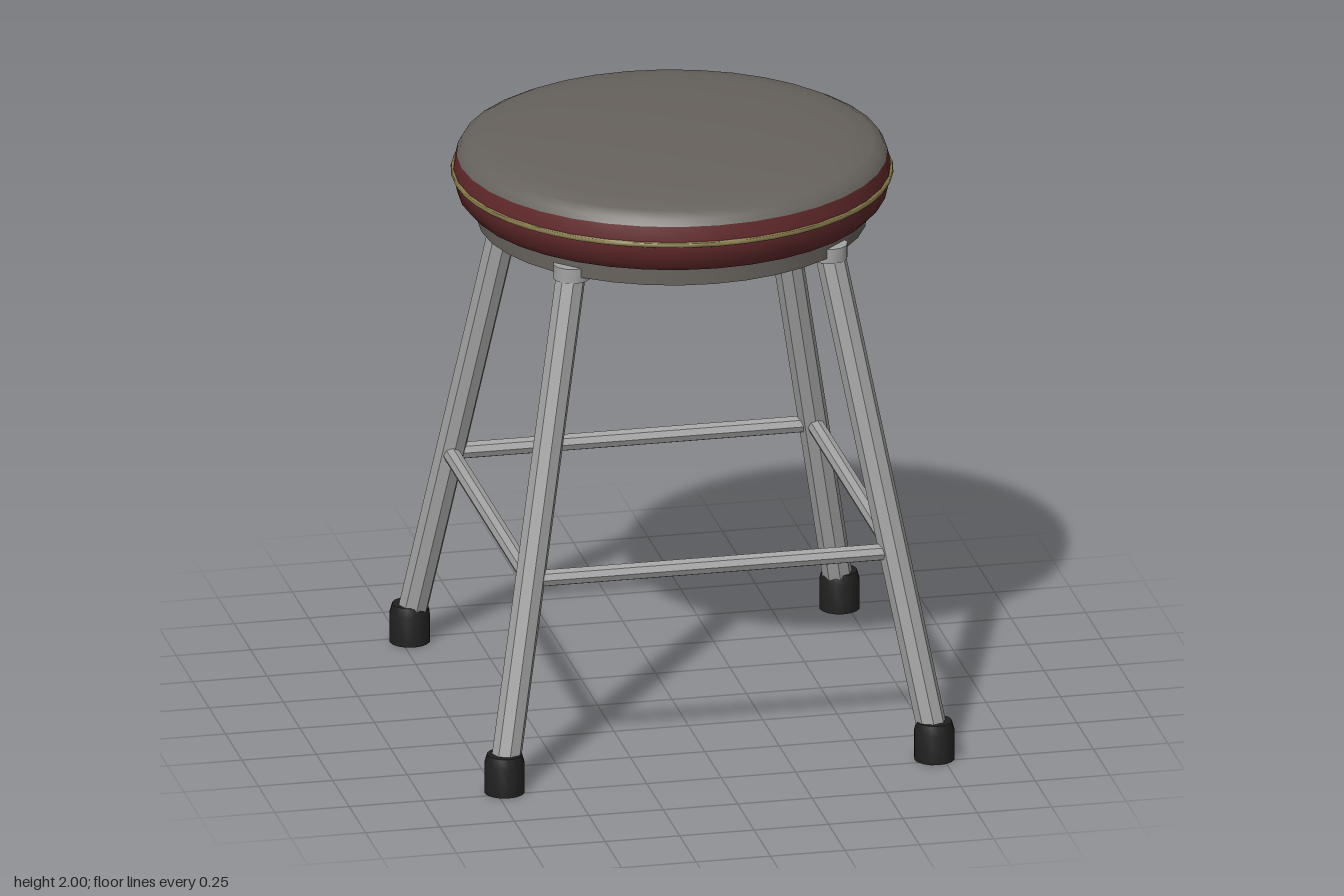
import * as THREE from 'three';
import { toCreasedNormals } from 'three/addons/utils/BufferGeometryUtils.js';

const material = (name, color) => {
  const m = new THREE.MeshStandardMaterial({ color });
  m.name = name;
  return m;
};

export function createModel() {
  const stool = new THREE.Group();
  stool.name = 'stool';
  const grey = material('seat grey', 0x67625d);
  const red = material('band red', 0x632a2c);
  const gold = material('piping gold', 0x85784a);
  const steel = material('steel', 0xa3a3a3);
  const rubber = material('black rubber', 0x202020);

  const add = (name, geometry, mat, crease = 0.6) => {
    const mesh = new THREE.Mesh(toCreasedNormals(geometry, crease), mat);
    mesh.name = name;
    stool.add(mesh);
    return mesh;
  };
  const lathe = (points, segments = 36) =>
    new THREE.LatheGeometry(points.map(([r, y]) => new THREE.Vector2(r, y)), segments);

  // Straight faceted bar between two points
  const bar = (name, a, b, radius) => {
    const dir = b.clone().sub(a);
    const mesh = add(name, new THREE.CylinderGeometry(radius, radius, dir.length(), 8), steel, 0.3);
    mesh.position.copy(a).add(b).multiplyScalar(0.5);
    mesh.quaternion.setFromUnitVectors(new THREE.Vector3(0, 1, 0), dir.normalize());
  };

  // Seat, from the base plate up to the domed cushion
  add('seatBase', lathe([[0, 1.69], [0.64, 1.69], [0.64, 1.77], [0, 1.77]]), grey);
  add('seatBand', lathe([[0, 1.755], [0.675, 1.757], [0.705, 1.79], [0.718, 1.845],
    [0.718, 1.875], [0.708, 1.92]]), red, 0.8);
  add('seatCushion', lathe([[0.708, 1.92], [0.695, 1.942], [0.66, 1.96], [0.58, 1.972],
    [0.46, 1.983], [0.25, 1.992], [0, 1.997]]), grey, 0.9);
  const piping = add('seatPiping', new THREE.TorusGeometry(0.717, 0.01, 8, 48), gold, 1.2);
  piping.rotation.x = Math.PI / 2;
  piping.position.y = 1.86;

  // Splayed legs with collars and rubber feet
  for (const sx of [-1, 1]) {
    for (const sz of [-1, 1]) {
      bar('leg', new THREE.Vector3(sx * 0.727, 0.04, sz * 0.727),
        new THREE.Vector3(sx * 0.432, 1.705, sz * 0.432), 0.05);
      const collar = add('legCollar', new THREE.CylinderGeometry(0.062, 0.062, 0.05, 12), steel);
      collar.position.set(sx * 0.432, 1.697, sz * 0.432);
      const foot = add('foot', lathe([[0, 0], [0.067, 0], [0.067, 0.1], [0.058, 0.132],
        [0, 0.132]], 16), rubber);
      foot.position.set(sx * 0.722, 0, sz * 0.722);
    }
  }

  // Square of stretchers joining the legs
  const s = 0.612, y = 0.695;
  for (const side of [-1, 1]) {
    bar('stretcher', new THREE.Vector3(-s, y, side * s), new THREE.Vector3(s, y, side * s), 0.029);
    bar('stretcher', new THREE.Vector3(side * s, y, -s), new THREE.Vector3(side * s, y, s), 0.029);
  }
  return stool;
}
